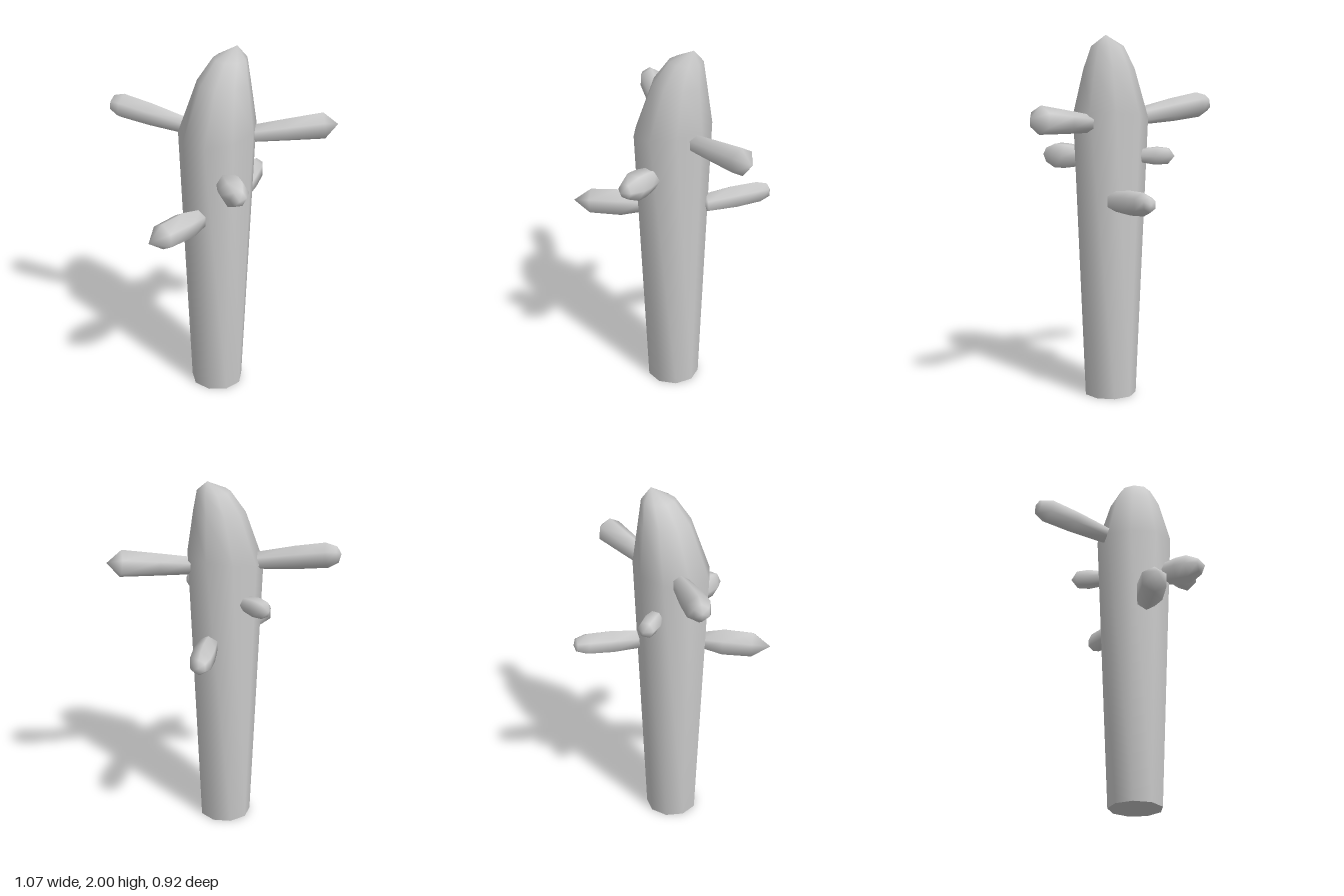
import * as THREE from 'three';
import { mergeVertices } from 'three/addons/utils/BufferGeometryUtils.js';

// Lathe with a welded seam, so that shading stays smooth after vertices move
function smoothLathe(profile, sides, phiStart, move) {
  let g = new THREE.LatheGeometry(profile.map(([r, y]) => new THREE.Vector2(r, y)), sides, phiStart);
  g.deleteAttribute('uv');
  g.deleteAttribute('normal');
  const p = g.attributes.position;
  const v = new THREE.Vector3();
  if (move) {
    for (let i = 0; i < p.count; i++) {
      move(v.fromBufferAttribute(p, i));
      p.setXYZ(i, v.x, v.y, v.z);
    }
  }
  g = mergeVertices(g, 1e-4);
  g.computeVertexNormals();
  return g;
}

export function createModel() {
  const model = new THREE.Group();
  const material = new THREE.MeshStandardMaterial({ color: 0xcccccc });
  const add = (name, geometry) => {
    const mesh = new THREE.Mesh(geometry, material);
    mesh.name = name;
    model.add(mesh);
    return mesh;
  };

  // Nine-sided trunk that widens upward, then closes in a tip leaning to +x
  const sides = 9, baseX = -0.02, baseZ = 0.06;
  const trunkProfile = [[0.145, 0], [0.21, 1.56], [0.142, 1.82], [0.09, 1.94], [0, 2]];
  const lean = { 1.82: 0.04, 1.94: 0.078, 2: 0.12 };
  add('trunk', smoothLathe(trunkProfile, sides, -Math.PI / 2, (v) => {
    const y = Math.round(v.y * 100) / 100;
    if (y === 1.56) v.y += 0.16 * v.x; // shoulder ring is slightly tilted
    v.x += baseX + (lean[y] ?? 0);
    v.z += baseZ;
  }));

  // Flat underside of the trunk
  const foot = add('trunkBase', new THREE.CircleGeometry(0.145, sides, Math.PI));
  foot.rotation.x = Math.PI / 2;
  foot.position.set(baseX, 0, baseZ);

  // Six-sided pods: start, tip, [radius, fraction of length] rings, flat on top or not
  const pods = [
    ['upperFrontLeftPod', [0.14, 1.53, 0.14], [0.535, 1.58, 0.37], [[0.05, 0.04], [0.062, 0.4], [0.075, 0.84]], false],
    ['upperBackRightPod', [-0.11, 1.55, -0.06], [-0.385, 1.62, -0.45], [[0.047, 0.04], [0.065, 0.5], [0.07, 0.84], [0.045, 0.96]], false],
    ['lowerBackLeftPod', [0.14, 1.115, 0.01], [0.435, 1.142, -0.235], [[0.055, 0.04], [0.066, 0.45], [0.062, 0.8], [0.04, 0.96]], false],
    ['lowerRightPod', [-0.15, 1.11, 0.13], [-0.535, 1.1, 0.225], [[0.05, 0.04], [0.079, 0.35], [0.074, 0.75]], false],
    ['middleFrontPod', [-0.055, 1.33, 0.2], [-0.133, 1.335, 0.46], [[0.055, 0.04], [0.075, 0.42], [0.077, 0.65], [0.045, 0.89]], true],
    ['middleBackPod', [-0.005, 1.35, -0.1], [-0.005, 1.35, -0.3], [[0.04, 0.04], [0.054, 0.5], [0.047, 0.83]], true],
  ];
  for (const [name, from, to, rings, flatTop] of pods) {
    const start = new THREE.Vector3(...from);
    const dir = new THREE.Vector3(...to).sub(start);
    const length = dir.length();
    dir.normalize();
    const side = new THREE.Vector3().crossVectors(dir, new THREE.Vector3(0, 1, 0)).normalize();
    const up = new THREE.Vector3().crossVectors(side, dir);
    const profile = [[0, 0], ...rings.map(([r, t]) => [r, t * length]), [0, length]];
    const geometry = smoothLathe(profile, 6, flatTop ? Math.PI / 2 : 0);
    geometry.applyMatrix4(new THREE.Matrix4().makeBasis(side, dir, up).setPosition(start));
    add(name, geometry);
  }
  return model;
}
